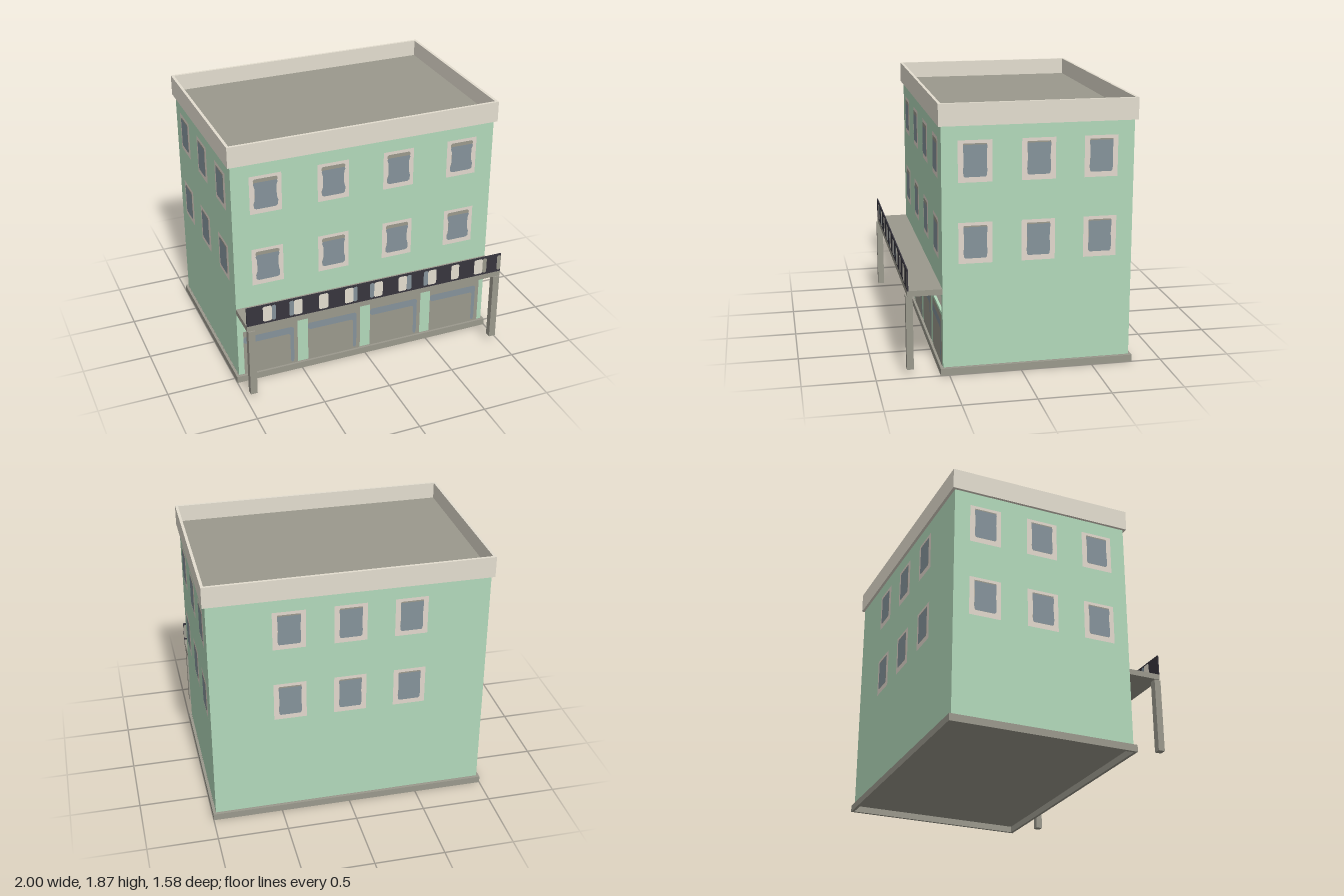
import * as THREE from 'three';

const mat = (name, color) => {
  const m = new THREE.MeshStandardMaterial({ color });
  m.name = name;
  return m;
};

export function createModel() {
  const wall = mat('green wall', 0xb2d9bb);
  const stone = mat('grey stone', 0x9b998d);
  const cream = mat('cream', 0xe4ded0);
  const frameMat = mat('window frame', 0xe2d8cd);
  const slate = mat('slate glass', 0x85939b);
  const dark = mat('dark sign', 0x37353d);

  const model = new THREE.Group();
  model.name = 'shopBuilding';

  // box given by its minimum and maximum on each axis
  const box = (name, m, x0, x1, y0, y1, z0, z1) => {
    const mesh = new THREE.Mesh(new THREE.BoxGeometry(x1 - x0, y1 - y0, z1 - z0), m);
    mesh.position.set((x0 + x1) / 2, (y0 + y1) / 2, (z0 + z1) / 2);
    mesh.name = name;
    model.add(mesh);
  };

  // flat painted face looking along +z
  const face = (name, m, shape, z, parent) => {
    const mesh = new THREE.Mesh(new THREE.ShapeGeometry(shape, 4), m);
    mesh.position.z = z;
    mesh.name = name;
    parent.add(mesh);
    return mesh;
  };
  const poly = (pts) => new THREE.Shape(pts.map(([x, y]) => new THREE.Vector2(x, y)));
  const rect = (x0, x1, y0, y1, c = 0) => c === 0
    ? poly([[x0, y0], [x1, y0], [x1, y1], [x0, y1]])
    : poly([[x0 + c, y0], [x1 - c, y0], [x1, y0 + c], [x1, y1 - c],
      [x1 - c, y1], [x0 + c, y1], [x0, y1 - c], [x0, y0 + c]]);

  const extrude = (name, m, shape, depth) => {
    const mesh = new THREE.Mesh(new THREE.ExtrudeGeometry(shape, { depth, bevelEnabled: false }), m);
    mesh.name = name;
    model.add(mesh);
    return mesh;
  };

  // main block, with a front wall that holds shallow openings for the shop panels
  const bays = [-0.732, -0.242, 0.248, 0.738];
  box('body', wall, -0.98, 0.98, 0.052, 1.735, -0.77, 0.52);
  const front = rect(-0.98, 0.98, 0.052, 1.735);
  for (const x of bays) front.holes.push(rect(x - 0.197, x + 0.197, 0.428, 0.543));
  extrude('frontWall', wall, front, 0.02).position.z = 0.52;
  box('floor', stone, -0.982, 0.982, 0.046, 0.052, -0.772, 0.542);
  box('roof', stone, -0.982, 0.982, 1.735, 1.75, -0.772, 0.542);

  // open rings: plinth below, parapet above
  const addRing = (name, m, y, height) => {
    const ring = rect(-1, 1, -0.56, 0.79);
    ring.holes.push(rect(-0.98, 0.98, -0.54, 0.77));
    const mesh = extrude(name, m, ring, height);
    mesh.rotation.x = -Math.PI / 2;
    mesh.position.y = y;
  };
  addRing('plinth', stone, 0, 0.05);
  addRing('parapet', cream, 1.72, 0.15);

  // windows: frame, shaded top of the pane, and pane with uneven edges
  const paneShape = (top, bulge) => poly([
    [-0.07, -0.105], [0.07, -0.105], [bulge - 0.003, -0.095], [bulge, -0.06], [0.079, -0.03],
    [0.077, 0.02], [0.079, 0.06], [bulge, top - 0.012], [0.078, top], [-0.078, top],
    [-bulge, top - 0.012], [-0.078, 0.05], [-0.077, 0.0], [-0.079, -0.04], [-bulge, -0.065], [3e-3 - bulge, -0.095]]);
  const addWindow = (parent, x, y, paneTop, bulge) => {
    const g = new THREE.Group();
    g.name = 'window';
    g.position.set(x, y, 0);
    face('windowFrame', frameMat, rect(-0.115, 0.115, -0.142, 0.142), 0.003, g);
    face('windowShade', stone, paneShape(0.12, bulge), 0.005, g);
    face('windowPane', slate, paneShape(paneTop, bulge), 0.007, g);
    parent.add(g);
  };
  const facades = [
    { name: 'frontWindows', pos: [0, 0.54], turn: 0, at: [-0.737, -0.247, 0.243, 0.733], top: 0.094, bulge: 0.088 },
    { name: 'backWindows', pos: [0, -0.77], turn: Math.PI, at: [-0.425, 0, 0.425], top: 0.111, bulge: 0.081 },
    { name: 'leftWindows', pos: [0.98, 0], turn: Math.PI / 2, at: [-0.315, 0.115, 0.542], top: 0.111, bulge: 0.081 },
    { name: 'rightWindows', pos: [-0.98, 0], turn: -Math.PI / 2, at: [-0.542, -0.115, 0.315], top: 0.111, bulge: 0.081 },
  ];
  for (const f of facades) {
    const g = new THREE.Group();
    g.name = f.name;
    g.position.set(f.pos[0], 0, f.pos[1]);
    g.rotation.y = f.turn;
    for (const x of f.at) for (const y of [0.924, 1.48]) addWindow(g, x, y, f.top, f.bulge);
    model.add(g);
  }

  // shop fronts: shutter, slate streak and recessed cream panel above
  for (const x of bays) {
    const g = new THREE.Group();
    g.name = 'shopFront';
    g.position.set(x, 0, 0.54);
    face('shutter', stone, rect(-0.205, 0.205, 0.05, 0.413), 0.003, g);
    face('shutterStreak', slate, poly([
      [-0.205, 0.325], [-0.19, 0.312], [0.135, 0.312], [0.147, 0.3], [0.149, 0.08], [0.157, 0.065],
      [0.169, 0.065], [0.175, 0.09], [0.175, 0.355], [0.16, 0.368], [-0.195, 0.368], [-0.205, 0.355]]), 0.006, g);
    face('shopPanel', cream, rect(-0.197, 0.197, 0.428, 0.543), -0.018, g);
    model.add(g);
  }

  // canopy on two posts
  box('canopy', stone, -0.98, 0.98, 0.573, 0.613, 0.54, 0.777);
  for (const x of [-0.948, 0.947]) box('post', stone, x - 0.025, x + 0.025, 0.05, 0.573, 0.74, 0.787);

  // sign board with painted blocks on both faces
  box('signBoard', dark, -0.98, 0.98, 0.613, 0.76, 0.769, 0.777);
  const blocks = [
    [-0.862, -0.797, cream], [-0.797, -0.767, slate], [-0.67, -0.636, slate], [-0.636, -0.573, cream],
    [-0.45, -0.382, cream], [-0.257, -0.192, cream], [-0.192, -0.16, slate],
    [-0.065, -0.033, slate], [-0.033, 0.033, cream], [0.155, 0.22, cream], [0.22, 0.257, slate],
    [0.353, 0.388, slate], [0.388, 0.455, cream], [0.573, 0.637, cream],
    [0.76, 0.829, cream], [0.829, 0.862, stone], [0.947, 0.979, stone]];
  for (const [x0, x1, m] of blocks) {
    face('signBlock', m, rect(x0, x1, 0.628, 0.748, 0.009), 0.779, model);
    const back = face('signBlockBack', m, rect(-x1, -x0, 0.628, 0.748, 0.009), 0.767, model);
    back.rotation.y = Math.PI;
  }
  return model;
}
